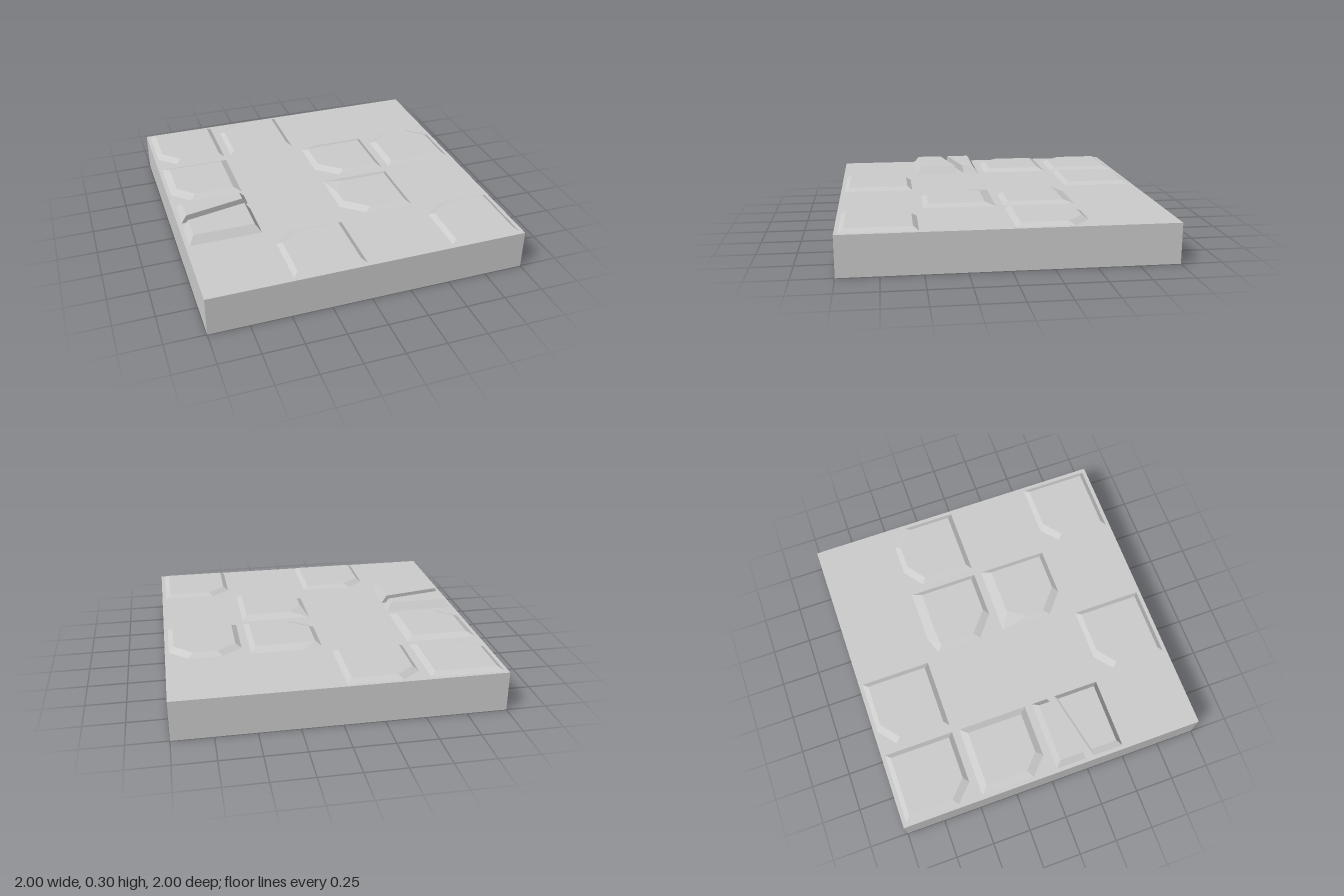
import * as THREE from 'three';

const material = new THREE.MeshStandardMaterial({
  color: 0xcccccc,
  flatShading: true,
});
const SLAB_TOP = 0.25;
const CELL = 0.5;
const LOW = 0.022;
const HIGH = 0.05;

// Bevelled plate: outer outline at the foot, inner outline on top.
// Points are [x, z], clockwise as seen from above.
function plateGeometry(outer, inner, height) {
  const n = outer.length;
  const positions = [];
  const foot = (i) => new THREE.Vector3(outer[i % n][0], 0, outer[i % n][1]);
  const top = (i) => new THREE.Vector3(inner[i % n][0], height, inner[i % n][1]);
  const triangle = (a, b, c) => {
    if (a.equals(b) || b.equals(c) || a.equals(c)) return;
    positions.push(...a.toArray(), ...b.toArray(), ...c.toArray());
  };
  for (let i = 0; i < n; i++) {
    triangle(foot(i), top(i), foot(i + 1));
    triangle(top(i), top(i + 1), foot(i + 1));
    if (i > 0 && i < n - 1) triangle(top(0), top(i + 1), top(i));
  }
  const geometry = new THREE.BufferGeometry();
  geometry.setAttribute('position', new THREE.Float32BufferAttribute(positions, 3));
  geometry.computeVertexNormals();
  return geometry;
}

// Plate outlines relative to the centre of a cell
const backLeftCut = {
  outer: [[-0.225, -0.13], [-0.11, -0.225], [0.225, -0.225], [0.225, 0.225], [-0.225, 0.225]],
  inner: [[-0.195, -0.1], [-0.08, -0.193], [0.193, -0.193], [0.193, 0.195], [-0.195, 0.195]],
};
const frontLeftCut = {
  outer: [[-0.225, -0.225], [0.225, -0.225], [0.225, 0.225], [-0.115, 0.225], [-0.225, 0.12]],
  inner: [[-0.19, -0.193], [0.193, -0.193], [0.193, 0.195], [-0.08, 0.195], [-0.19, 0.09]],
};
const frontLeftCutWide = {
  outer: frontLeftCut.outer,
  inner: [[-0.18, -0.18], [0.18, -0.18], [0.18, 0.183], [-0.08, 0.183], [-0.18, 0.09]],
};
const twoLeftCuts = {
  outer: [[-0.225, -0.185], [-0.11, -0.225], [0.225, -0.225],
    [0.225, 0.225], [-0.085, 0.225], [-0.225, 0.11]],
  inner: [[-0.19, -0.15], [-0.085, -0.16], [0.193, -0.16],
    [0.193, 0.193], [-0.05, 0.193], [-0.19, 0.075]],
};
const twoBackCuts = {
  outer: [[-0.225, -0.13], [-0.1, -0.225], [0.11, -0.225],
    [0.225, -0.12], [0.225, 0.225], [-0.225, 0.225]],
  inner: [[-0.19, -0.1], [-0.07, -0.19], [0.08, -0.19],
    [0.193, -0.085], [0.193, 0.193], [-0.19, 0.193]],
};
const foldedCorner = {
  outer: [[-0.225, -0.225], [-0.225, -0.225], [0.225, -0.225],
    [0.225, 0.225], [-0.085, 0.225], [-0.225, 0.11]],
  inner: [[-0.19, -0.04], [-0.11, -0.16], [0.193, -0.16],
    [0.193, 0.193], [-0.05, 0.193], [-0.19, 0.075]],
};

// Tall plate split by a slanted, straight-walled groove
const grooveZ = (x, offset) => -0.0475 - 0.211 * x + offset;
const edge = (x, offset) => [x, grooveZ(x, offset)];
const tallBack = {
  outer: [[-0.225, -0.225], [0.225, -0.225], edge(0.225, -0.0275), edge(-0.225, -0.0275)],
  inner: [[-0.19, -0.19], [0.19, -0.19], edge(0.19, -0.0275), edge(-0.19, -0.0275)],
};
const tallFront = {
  outer: [edge(-0.225, 0.0275), edge(0.225, 0.0275), [0.225, 0.225], [-0.225, 0.225]],
  inner: [edge(-0.19, 0.0275), edge(0.19, 0.0275), [0.19, 0.19], [-0.19, 0.19]],
};

export function createModel() {
  const model = new THREE.Group();
  model.name = 'tiledSlab';

  const slab = new THREE.Mesh(new THREE.BoxGeometry(2, SLAB_TOP, 2), material);
  slab.name = 'slab';
  slab.position.y = SLAB_TOP / 2;
  model.add(slab);

  // Plates by column (along x) and row (back to front)
  const plates = [
    ['plateBackCorner', frontLeftCut, 0, 0, LOW],
    ['plateBack', backLeftCut, 1, 0, LOW],
    ['plateSide', frontLeftCutWide, 0, 1, LOW],
    ['plateMiddle', twoLeftCuts, 2, 1, LOW],
    ['plateDoubleCut', twoBackCuts, 3, 1, LOW],
    ['plateFolded', foldedCorner, 2, 2, LOW],
    ['plateFront', backLeftCut, 1, 3, LOW],
    ['plateFrontCorner', backLeftCut, 3, 3, LOW],
    ['tallPlateBackHalf', tallBack, 0, 2, HIGH],
    ['tallPlateFrontHalf', tallFront, 0, 2, HIGH],
  ];
  for (const [name, { outer, inner }, column, row, height] of plates) {
    const plate = new THREE.Mesh(plateGeometry(outer, inner, height), material);
    plate.name = name;
    plate.position.set((column - 1.5) * CELL, SLAB_TOP, (row - 1.5) * CELL);
    model.add(plate);
  }
  return model;
}
